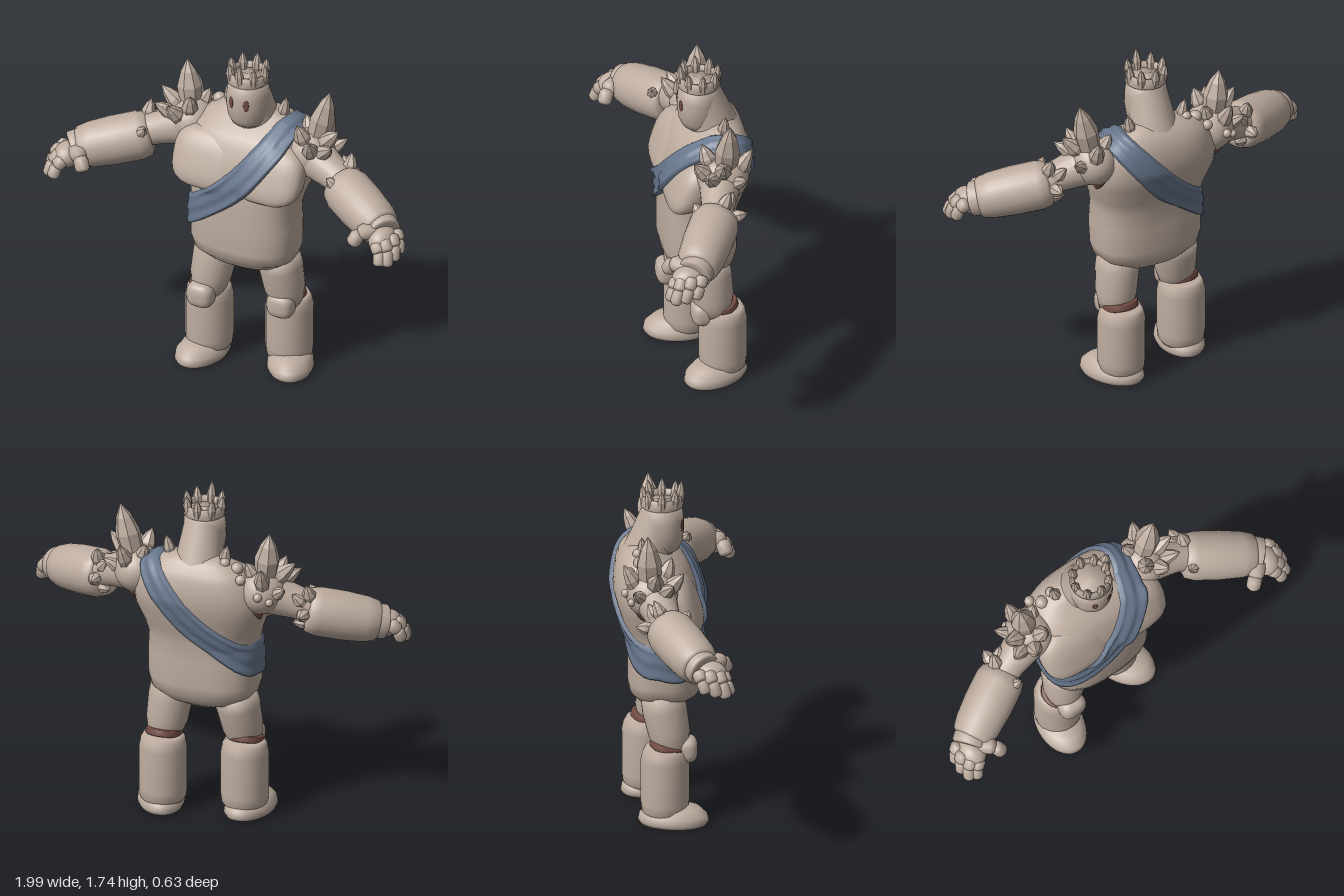
import * as THREE from 'three';

const V = (x, y, z) => new THREE.Vector3(x, y, z);
const UP = V(0, 1, 0);

// Torso sections: height, half width, back z, front z
const RINGS = [
  [0.572, 0.002, -0.05, -0.045], [0.575, 0.1, -0.12, 0.04], [0.61, 0.2, -0.175, 0.09],
  [0.66, 0.268, -0.215, 0.14], [0.72, 0.285, -0.225, 0.152], [0.85, 0.287, -0.225, 0.152],
  [0.95, 0.282, -0.225, 0.15], [1.02, 0.3, -0.245, 0.145], [1.12, 0.34, -0.275, 0.135],
  [1.2, 0.34, -0.295, 0.115], [1.27, 0.32, -0.29, 0.085], [1.32, 0.295, -0.28, 0.055],
  [1.36, 0.26, -0.265, 0.0], [1.4, 0.2, -0.235, -0.06], [1.43, 0.1, -0.19, -0.09], [1.435, 0.002, -0.14, -0.135],
];
const POWER = 2.6, BLOCK = 3;
const PEC = { c: V(0.168, 1.17, 0.042), r: V(0.19, 0.145, 0.09), lean: 0.6 };

// True where a point lies in the torso or chest muscles
function insideBody(p) {
  const q = V(Math.abs(p.x), p.y, p.z).sub(PEC.c).divide(PEC.r);
  q.z += PEC.lean * q.y;
  if (q.toArray().reduce((sum, n) => sum + Math.abs(n) ** BLOCK, 0) < 1) return true;
  const i = RINGS.findIndex((r) => r[0] > p.y);
  if (i < 1) return false;
  const a = RINGS[i - 1], b = RINGS[i], t = (p.y - a[0]) / (b[0] - a[0]);
  const [, w, zb, zf] = a.map((n, k) => n + (b[k] - n) * t);
  const z = (p.z - (zb + zf) / 2) / ((zf - zb) / 2);
  return Math.abs(p.x / w) ** POWER + Math.abs(z) ** POWER < 1;
}

// Skin rows of points into a smooth surface, wrapping around each row if asked
function skin(rows, wrap) {
  const n = rows[0].length, index = [];
  for (let i = 0; i < rows.length - 1; i++) {
    for (let j = 0; j < (wrap ? n : n - 1); j++) {
      const a = i * n + j, b = i * n + (j + 1) % n, c = a + n, d = b + n;
      index.push(a, c, b, b, c, d);
    }
  }
  const g = new THREE.BufferGeometry().setFromPoints(rows.flat());
  g.setIndex(index);
  g.computeVertexNormals();
  return g;
}

function torsoGeometry() {
  const bend = (v) => Math.sign(v) * Math.abs(v) ** (2 / POWER);
  return skin(RINGS.map(([y, w, zb, zf]) => Array.from({ length: 48 }, (_, j) => {
    const a = j / 48 * Math.PI * 2;
    return V(w * bend(Math.cos(a)), y, (zb + zf) / 2 + (zf - zb) / 2 * bend(Math.sin(a)));
  })), true);
}

// Rounded block: a sphere pushed towards a cube, its top leaning back
function blockGeometry(lean) {
  const g = new THREE.SphereGeometry(1, 32, 20), pos = g.attributes.position;
  for (let i = 0; i < pos.count; i++) {
    const p = V().fromBufferAttribute(pos, i);
    const k = p.toArray().reduce((sum, n) => sum + Math.abs(n) ** BLOCK, 0) ** (-1 / BLOCK);
    pos.setXYZ(i, p.x * k, p.y * k, (p.z - lean * p.y) * k);
  }
  g.computeVertexNormals();
  return g;
}

// Cloth band laid over the body by casting rays inward
function sashGeometry() {
  const rows = [], steps = 72, across = 12;
  const u = V(1, 1, 0).normalize(), n = V(-1, 1, 0).normalize();
  for (let i = 0; i <= steps; i++) {
    const a = i / steps * Math.PI * 2, s = Math.abs(Math.sin(a));
    const sag = 0.05 * s + 0.015 * Math.max(0, Math.sin(a));
    const dir = u.clone().multiplyScalar(Math.cos(a)).add(V(0, 0, Math.sin(a)));
    const row = [];
    for (let j = 0; j <= across; j++) {
      const v = j / across * 2 - 1;
      const from = V(-0.03, 1.13, -0.07).addScaledVector(n, v * (0.06 + 0.016 * s) - sag);
      let t = 0.6;
      while (t > 0 && !insideBody(from.clone().addScaledVector(dir, t))) t -= 0.002;
      const edge = j === 0 || j === across;
      row.push(from.addScaledVector(dir, t + (edge ? -0.008 : 0.021 + 0.004 * Math.sin(v * 7 + s))));
    }
    rows.push(row);
  }
  return skin(rows, false);
}

export function createModel() {
  const model = new THREE.Group();
  model.name = 'stoneGiant';
  const paint = (name, color) => {
    const m = new THREE.MeshStandardMaterial({ color });
    m.name = name;
    return m;
  };
  const stone = paint('stone', 0xbeada0), cloth = paint('blueCloth', 0x68778d), dark = paint('darkJoint', 0x744c43);
  cloth.side = THREE.DoubleSide;

  const add = (name, geometry, material = stone) => {
    const m = new THREE.Mesh(geometry, material);
    m.name = name;
    model.add(m);
    return m;
  };
  const place = (mesh, p, r) => {
    mesh.position.copy(p);
    mesh.scale.copy(r);
    return mesh;
  };
  const ball = (name, p, r, material = stone) =>
    place(add(name, new THREE.SphereGeometry(1, 28, 18), material), p, r);
  const block = (name, p, r, lean) => place(add(name, blockGeometry(lean)), p, r);
  // Turned shape from a to b; profile holds [radius, fraction along]
  const limb = (name, a, b, profile, material = stone, sides = 24) => {
    const d = b.clone().sub(a), len = d.length();
    let g = new THREE.LatheGeometry(profile.map(([r, t]) => new THREE.Vector2(r, t * len)), sides);
    if (sides < 10) {
      g = g.toNonIndexed();
      g.computeVertexNormals();
    }
    const m = add(name, g, material);
    m.position.copy(a);
    m.quaternion.setFromUnitVectors(UP, d.normalize());
    return m;
  };
  const crystal = (name, a, b, r) =>
    limb(name, a, b, [[0, 0], [r * 0.85, 0.01], [r, 0.48], [r * 0.62, 0.76], [0, 1]], stone, 7);
  const drum = (r, cap = 0.06) => [[0, 0], [r * 0.82, 0.005], [r * 0.95, cap], [r, cap * 2.5],
    [r, 1 - cap * 2.5], [r * 0.95, 1 - cap], [r * 0.82, 0.995], [0, 1]];
  const pill = (r) => [[0, -0.15], [r * 0.65, -0.08], [r, 0.15], [r, 0.8], [r * 0.7, 1.02], [0, 1.1]];

  // Body and sash
  add('torso', torsoGeometry());
  add('sash', sashGeometry(), cloth);

  // Head, neck and eyes
  limb('neck', V(0, 1.36, -0.12), V(0, 1.57, -0.06), [[0.125, 0], [0.112, 0.4], [0.095, 1]]);
  limb('head', V(0, 1.355, -0.045), V(0, 1.635, -0.05), [[0, 0], [0.045, 0.01], [0.078, 0.08],
    [0.098, 0.22], [0.108, 0.45], [0.107, 0.65], [0.098, 0.96], [0, 1]], stone, 36);
  for (const s of [-1, 1]) {
    const a = s * 0.4;
    const eye = ball('eye', V(Math.sin(a) * 0.108, 1.515, -0.048 + Math.cos(a) * 0.108), V(0.014, 0.032, 0.0045), dark);
    eye.rotation.y = a;
  }

  // Crown
  limb('crownBand', V(0, 1.6, -0.05), V(0, 1.66, -0.05), [[0.095, 0], [0.106, 0.15], [0.1, 0.5],
    [0.1, 1], [0.084, 1], [0.08, 0.5]], stone, 32);
  for (let k = 0; k < 8; k++) {
    const a = k / 8 * Math.PI * 2, x = Math.sin(a), z = Math.cos(a);
    crystal('crownSpike', V(x * 0.086, 1.61, z * 0.086 - 0.05),
      V(x * 0.098, k === 0 ? 1.74 : 1.715, z * 0.098 - 0.05), 0.023);
  }

  for (const s of [1, -1]) {
    const P = (x, y, z) => V(s * x, y, z);
    block('chestMuscle', P(PEC.c.x, PEC.c.y, PEC.c.z), PEC.r, PEC.lean);

    // Arm
    ball('shoulder', P(0.335, 1.265, -0.1), V(0.12, 0.12, 0.13));
    limb('shoulderJoint', P(0.3, 1.22, -0.09), P(0.35, 1.21, -0.08), drum(0.108), dark);
    limb('upperArm', P(0.33, 1.255, -0.09), P(0.6, 1.165, -0.01), [[0.11, 0], [0.1, 0.25], [0.083, 0.6], [0.08, 1]]);
    limb('forearm', P(0.535, 1.165, -0.03), P(0.86, 1.082, 0.145), [[0, 0.02], [0.085, 0], [0.112, 0.04], [0.124, 0.16],
      [0.124, 0.5], [0.116, 0.8], [0.103, 0.95], [0.08, 1], [0, 1]]);
    limb('wrist', P(0.84, 1.09, 0.13), P(0.885, 1.075, 0.165), drum(0.088));

    // Hand
    ball('palm', P(0.885, 1.06, 0.19), V(0.068, 0.065, 0.085));
    const fingers = [[0.925, 1.085, 0.13, 0.967, 0.99, 0.17], [0.93, 1.085, 0.18, 0.968, 0.975, 0.225],
      [0.91, 1.075, 0.225, 0.955, 0.962, 0.272], [0.88, 1.06, 0.25, 0.92, 0.965, 0.29]];
    for (const [x, y, z, tx, ty, tz] of fingers) {
      const mid = P((x + tx) / 2 + 0.01, (y + ty) / 2 + 0.01, (z + tz) / 2);
      limb('fingerBase', P(x, y, z), mid, pill(0.035), stone, 14);
      limb('fingerTip', mid, P(tx, ty, tz), pill(0.031), stone, 14);
    }
    limb('thumbBase', P(0.85, 1.09, 0.19), P(0.785, 1.1, 0.25), pill(0.042), stone, 14);
    limb('thumbTip', P(0.785, 1.095, 0.25), P(0.758, 1.035, 0.272), pill(0.037), stone, 14);

    // Shoulder and elbow crystals
    crystal('largeCrystal', P(0.35, 1.31, -0.11), P(s > 0 ? 0.425 : 0.38, s > 0 ? 1.615 : 1.59, -0.12), 0.064);
    const shards = [[0.37, 1.3, -0.09, 0.5, 1.43, -0.07, 0.044], [0.38, 1.27, -0.06, 0.5, 1.37, 0.01, 0.04],
      [0.33, 1.31, -0.05, 0.3, 1.45, 0, 0.042], [0.36, 1.28, -0.16, 0.38, 1.44, -0.24, 0.04],
      [0.31, 1.32, -0.13, 0.27, 1.43, -0.16, 0.036], [0.36, 1.27, -0.04, 0.4, 1.4, 0.06, 0.042],
      [0.39, 1.25, -0.13, 0.49, 1.33, -0.19, 0.034], [0.14, 1.37, -0.14, 0.165, 1.5, -0.15, 0.03],
      [0.57, 1.21, -0.04, 0.565, 1.325, -0.09, 0.036], [0.55, 1.2, -0.07, 0.5, 1.28, -0.12, 0.034],
      [0.57, 1.11, -0.05, 0.49, 1.11, -0.09, 0.034], [0.56, 1.17, -0.09, 0.56, 1.18, -0.18, 0.034],
      [0.57, 1.18, 0.05, 0.51, 1.25, 0.085, 0.034]];
    for (const [x, y, z, tx, ty, tz, r] of shards) crystal('crystal', P(x, y, z), P(tx, ty, tz), r);

    // Leg, with the right one stepping forward
    const step = s > 0 ? -0.13 : -0.035, x = s > 0 ? 0.19 : 0.21;
    limb('thigh', P(0.165, 0.68, -0.055), P(0.2, 0.37, step + 0.04), [[0, 0], [0.105, 0.02], [0.112, 0.3],
      [0.104, 0.7], [0.092, 0.84], [0.08, 1], [0, 1]]);
    limb('kneeJoint', P(x, 0.385, step + 0.01), P(x, 0.422, step + 0.02), drum(0.092), dark);
    limb('shin', P(x, 0.04, step), P(x, 0.405, step), [[0, 0], [0.1, 0.005], [0.116, 0.07], [0.121, 0.2],
      [0.121, 0.8], [0.112, 0.92], [0.098, 0.99], [0, 1]]);
    block('kneePad', P(0.2, 0.385, step + 0.105), V(0.07, 0.066, 0.058), 0);
    const fx = s > 0 ? 0.218 : 0.225;
    const foot = limb('foot', P(fx, 0, step + 0.042), P(fx, 0.1, step + 0.042),
      [[0, 0], [0.93, 0], [1, 0.2], [0.96, 0.5], [0.75, 0.85], [0.4, 1], [0, 1.05]], stone, 36);
    foot.scale.set(0.118, 1, 0.178);
    foot.rotation.y = s * (s > 0 ? 0.45 : 0.12);
  }

  // Round studs behind the right shoulder
  for (const [x, y, z, r] of [[-0.22, 1.385, -0.16, 0.032], [-0.16, 1.41, -0.17, 0.026], [-0.26, 1.35, -0.21, 0.026],
    [-0.36, 1.28, -0.23, 0.022], [-0.41, 1.25, -0.2, 0.02]]) ball('stud', V(x, y, z), V(r, r, r));

  return model;
}
